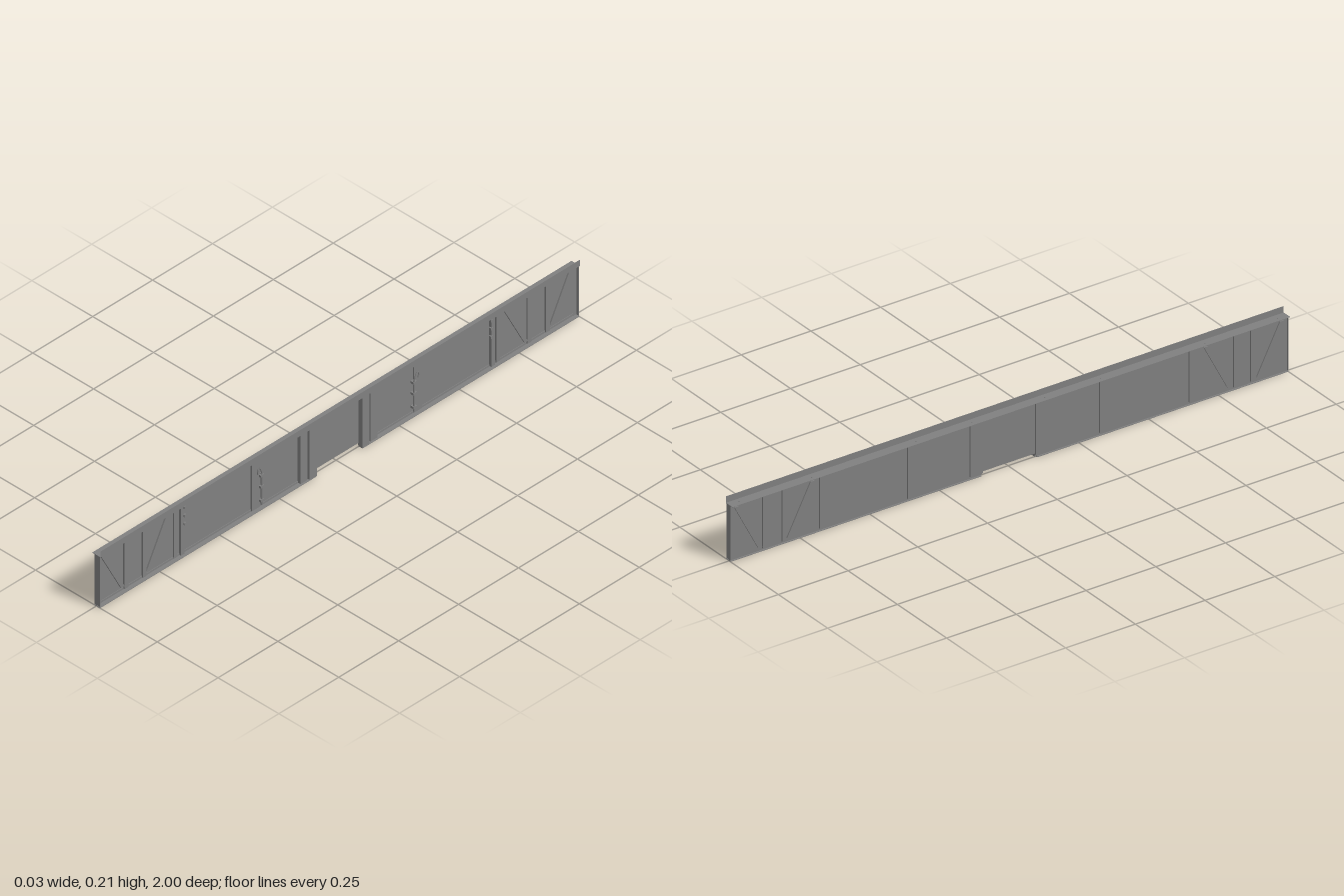
import * as THREE from 'three';

const steel = new THREE.MeshStandardMaterial({ color: 0x808080, side: THREE.DoubleSide });
steel.name = 'grey steel';

export function createModel() {
  const model = new THREE.Group();
  model.name = 'sideSill';

  // Box given by its limits on each axis
  function box(name, x0, x1, y0, y1, z0, z1) {
    const mesh = new THREE.Mesh(new THREE.BoxGeometry(x1 - x0, y1 - y0, z1 - z0), steel);
    mesh.position.set((x0 + x1) / 2, (y0 + y1) / 2, (z0 + z1) / 2);
    mesh.name = name;
    model.add(mesh);
    return mesh;
  }

  // Thin sheet from a side outline of [z, y] points, between x0 and x1
  function plate(name, points, x0, x1) {
    const shape = new THREE.Shape(points.map(([z, y]) => new THREE.Vector2(-z, y)));
    const geo = new THREE.ExtrudeGeometry(shape, { depth: x1 - x0, bevelEnabled: false });
    geo.rotateY(Math.PI / 2).translate(x0, 0, 0);
    const mesh = new THREE.Mesh(geo, steel);
    mesh.name = name;
    model.add(mesh);
    return mesh;
  }

  const TOP = 0.187, WEB = [-0.003, -0.001];

  // Web sheet, cut away slightly under the centre bay
  plate('web', [[-1, 0.004], [-0.095, 0.004], [-0.095, 0.012], [0.095, 0.012],
    [0.095, 0.004], [1, 0.004], [1, TOP], [-1, TOP]], ...WEB);

  // Top angle: flat flange with an upright lip on its outer edge
  box('topFlange', -0.017, 0.017, TOP - 0.001, TOP, -1, 1);
  box('topLip', 0.016, 0.017, TOP, 0.208, -1, 1);

  for (const s of [1, -1]) {
    const span = (name, x0, x1, y0, y1, a, b) =>
      box(name, x0, x1, y0, y1, Math.min(a * s, b * s), Math.max(a * s, b * s));

    // Bottom flange either side of the centre bay
    span('bottomFlange', -0.008, 0.0155, 0, 0.002, 0.1, 1);
    span('bottomEdge', -0.003, 0.001, 0, 0.009, 0.1, 1);

    // End post channel
    span('endPostWeb', -0.008, 0.0145, 0.004, TOP, 0.998, 1);
    span('endPostLip', 0.003, 0.005, 0.004, TOP, 0.985, 1);

    // Posts on the outer face: [near z, far z, depth]
    for (const [a, b, x] of [[0.095, 0.125, 0.0145], [0.132, 0.16, 0.012],
      [0.322, 0.355, 0.004], [0.64, 0.655, 0.008], [0.665, 0.68, 0.004],
      [0.795, 0.81, 0.005], [0.872, 0.887, 0.005]]) {
      span('outerPost', -0.001, x, a < 0.13 ? 0 : 0.004, TOP, a, b);
    }
    // Posts on the inner face
    for (const [a, b] of [[0.095, 0.14], [0.325, 0.365], [0.645, 0.68], [0.805, 0.815], [0.865, 0.885]]) {
      span('innerPost', -0.008, -0.003, 0.009, 0.181, a, b);
    }

    // Diagonal braces in the two end bays, on both faces
    for (const [zTop, zBottom] of [[0.705, 0.79], [0.978, 0.893]]) {
      const w = 0.007;
      const outline = [[zTop - w, 0.176], [zTop + w, 0.176], [zBottom + w, 0.014], [zBottom - w, 0.014]]
        .map(([z, y]) => [z * s, y]);
      plate('outerBrace', outline, -0.001, 0.004);
      plate('innerBrace', outline, -0.007, -0.003);
    }

    // Latch rod with handle and brackets
    const rod = new THREE.Mesh(new THREE.CylinderGeometry(0.003, 0.003, 0.115, 8), steel);
    rod.name = 'latchRod';
    rod.position.set(0.008, 0.07, 0.318 * s);
    model.add(rod);
    const hook = new THREE.CatmullRomCurve3([[0.008, 0.125, 0.318], [0.009, 0.14, 0.322],
      [0.009, 0.152, 0.33], [0.009, 0.145, 0.336], [0.008, 0.13, 0.334]]
      .map(([x, y, z]) => new THREE.Vector3(x, y, z * s)));
    const handle = new THREE.Mesh(new THREE.TubeGeometry(hook, 12, 0.002, 6), steel);
    handle.name = 'latchHandle';
    model.add(handle);
    for (const y of [0.025, 0.075, 0.115]) {
      span('latchBracket', -0.001, 0.012, y, y + 0.008, 0.312, 0.326);
    }

    // Small hinge blocks on the bay post
    for (const y of [0.11, 0.14, 0.17]) {
      span('hinge', 0.002, 0.011, y, y + 0.008, 0.636, 0.644);
    }

    // Bolts through the top flange
    for (const z of [0.13, 0.33, 0.705, 0.965]) {
      const bolt = new THREE.Mesh(new THREE.CylinderGeometry(0.002, 0.002, 0.002, 8), steel);
      bolt.name = 'flangeBolt';
      bolt.position.set(-0.002, TOP + 0.0005, z * s);
      model.add(bolt);
    }
  }
  return model;
}
